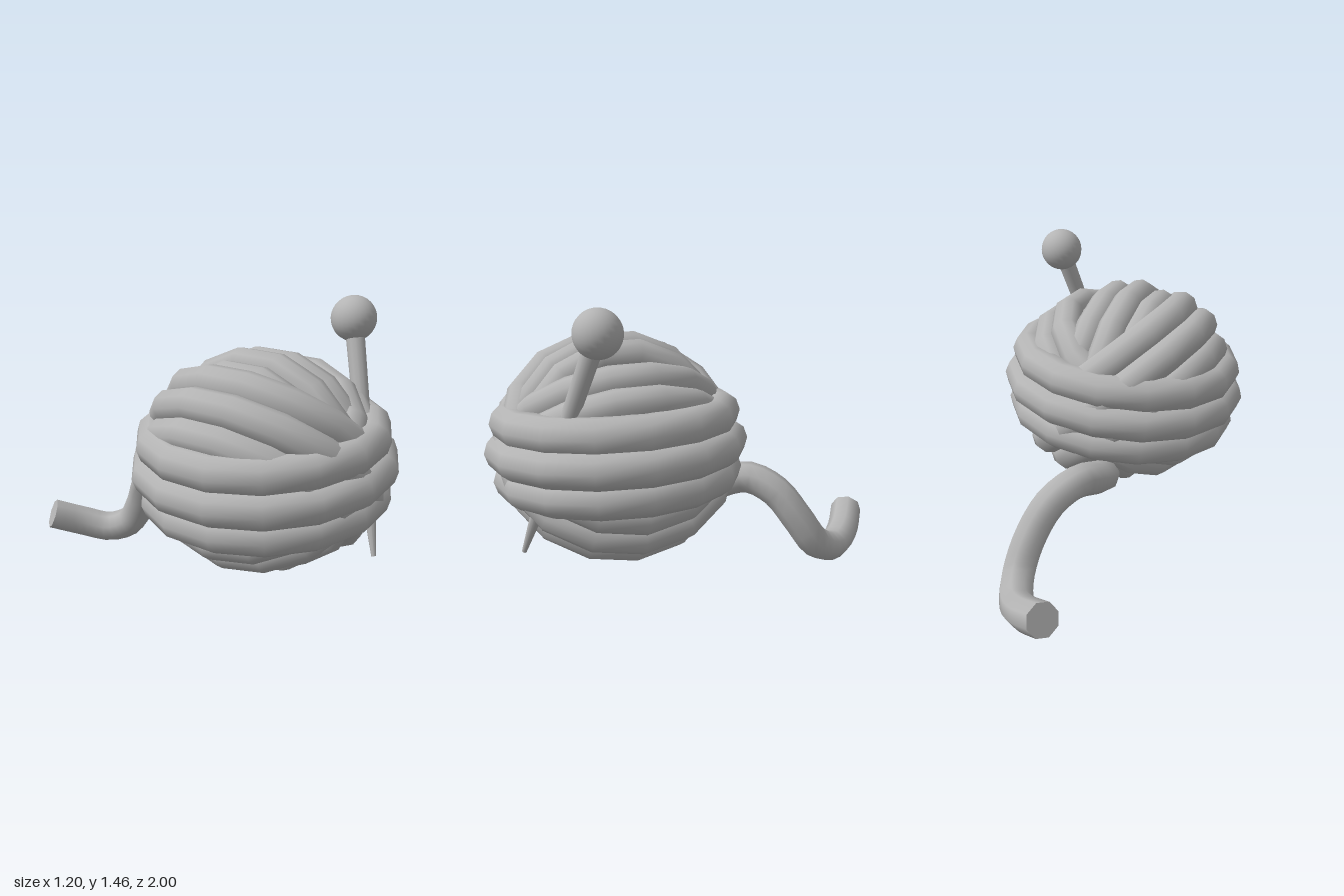
import * as THREE from 'three';

const CENTRE = new THREE.Vector3(0, 0.75, 0.378);

export function createModel() {
  const model = new THREE.Group();
  model.name = 'yarnBallWithPin';
  const grey = new THREE.MeshStandardMaterial({ color: 0xb4b4b4 });
  grey.name = 'yarnGrey';

  const add = (parent, name, geometry) => {
    const mesh = new THREE.Mesh(geometry, grey);
    mesh.name = name;
    parent.add(mesh);
    return mesh;
  };

  // Wraps: each is three strands side by side, tilted about the z axis
  const wraps = [
    ['waistWrap', 5.7, 1],
    ['leftSlantWrap', -40, 0.945],
    ['uprightWrap', -83.5, 0.86],
    ['rightSlantWrap', -142, 0.89],
  ];
  for (const [name, degrees, scale] of wraps) {
    const wrap = new THREE.Group();
    wrap.name = name;
    for (const offset of [-1, 0, 1]) {
      const outer = offset === 0 ? 0.612 : 0.58;
      const strand = add(wrap, 'strand', new THREE.TorusGeometry(outer - 0.087, 0.087, 10, 15));
      strand.rotation.x = Math.PI / 2;
      strand.position.y = offset * 0.135;
    }
    wrap.position.copy(CENTRE);
    wrap.rotation.z = THREE.MathUtils.degToRad(degrees);
    wrap.scale.setScalar(scale);
    model.add(wrap);
  }

  // Core closes small gaps between strands
  add(model, 'core', new THREE.SphereGeometry(0.43, 20, 14)).position.copy(CENTRE);

  // Loose yarn tail
  const path = new THREE.CatmullRomCurve3([
    [0.06, 0.39, 0.08], [-0.05, 0.405, -0.03], [-0.07, 0.45, -0.16], [-0.02, 0.482, -0.3],
    [0.06, 0.42, -0.42], [0.12, 0.28, -0.52], [0.135, 0.14, -0.62], [0.09, 0.085, -0.74],
    [0, 0.115, -0.85], [-0.14, 0.177, -0.95],
  ].map((p) => new THREE.Vector3(...p)));
  add(model, 'yarnTail', new THREE.TubeGeometry(path, 28, 0.08, 8, false));
  const frames = path.computeFrenetFrames(28, false);
  for (const end of [0, 1]) {
    const i = end * 28;
    const out = frames.tangents[i].clone().multiplyScalar(end ? 1 : -1);
    const xAxis = frames.normals[i].clone();
    const yAxis = new THREE.Vector3().crossVectors(out, xAxis);
    const cap = add(model, 'yarnTailEnd', new THREE.CircleGeometry(0.08, 8));
    cap.quaternion.setFromRotationMatrix(new THREE.Matrix4().makeBasis(xAxis, yAxis, out));
    cap.position.copy(path.getPointAt(end));
  }

  // Pin: tapered shaft through the ball with a round head
  const head = new THREE.Vector3(0.423, 1.36, 0.56);
  const tip = new THREE.Vector3(0.18, 0.35, 0.87);
  const length = head.distanceTo(tip);
  const profile = [[0, 0], [0.011, 0], [0.034, 0.25], [0.037, 0.5], [0.044, 1]]
    .map(([r, t]) => new THREE.Vector2(r, t * length));
  const shaft = add(model, 'pinShaft', new THREE.LatheGeometry(profile, 12));
  shaft.position.copy(tip);
  shaft.quaternion.setFromUnitVectors(new THREE.Vector3(0, 1, 0), head.clone().sub(tip).normalize());
  add(model, 'pinHead', new THREE.SphereGeometry(0.105, 24, 16)).position.copy(head);

  return model;
}
